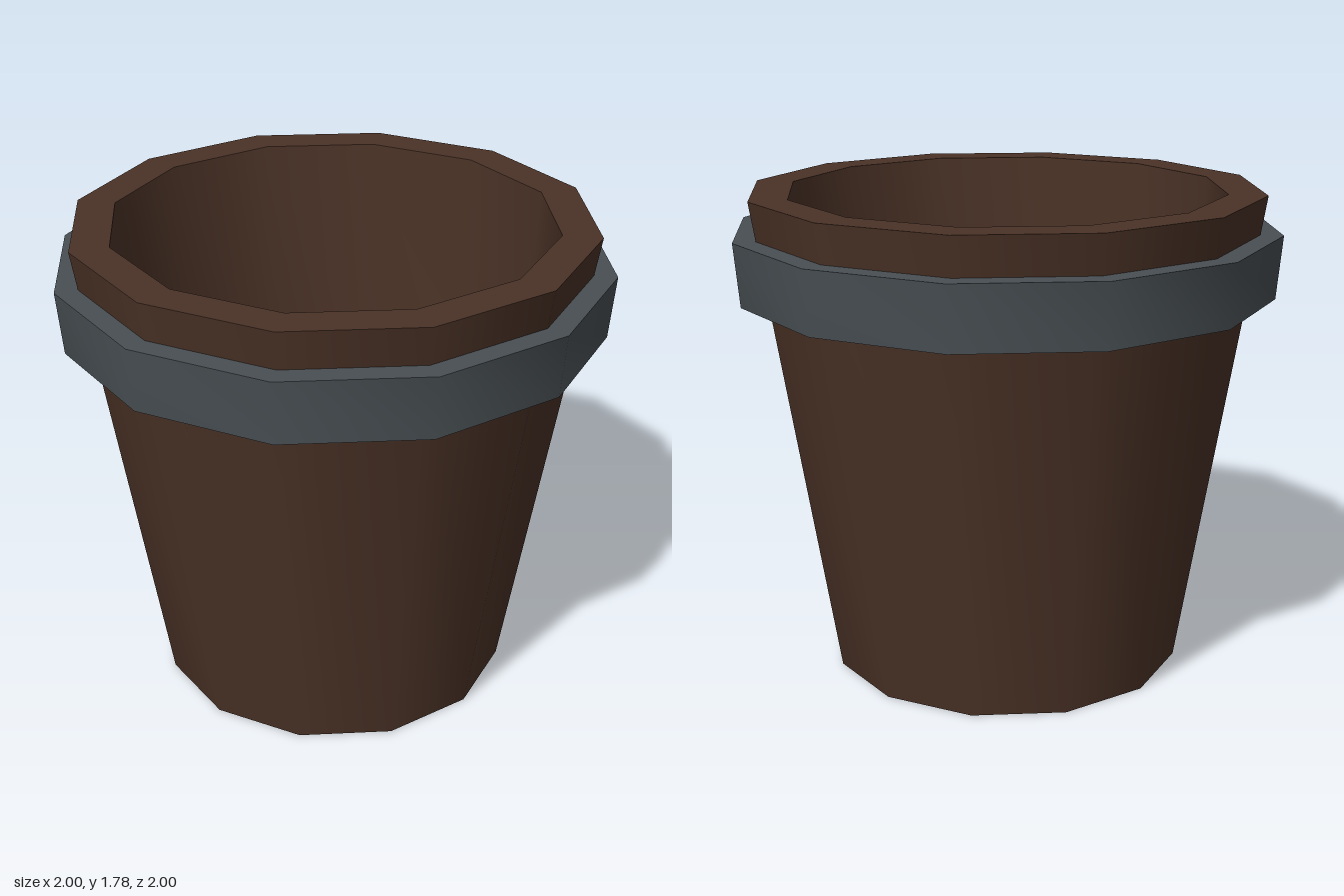
import * as THREE from 'three';
import { toCreasedNormals } from 'three/addons/utils/BufferGeometryUtils.js';

const SIDES = 12;

// Twelve-sided turned shape: smooth around, sharp at the rims
function turned(name, profile, material) {
  const points = profile.map(([r, y]) => new THREE.Vector2(r, y));
  const geometry = toCreasedNormals(new THREE.LatheGeometry(points, SIDES), 0.7);
  const mesh = new THREE.Mesh(geometry, material);
  mesh.name = name;
  return mesh;
}

export function createModel() {
  const wood = new THREE.MeshStandardMaterial({ color: 0x4a3226 });
  wood.name = 'dark brown';
  const iron = new THREE.MeshStandardMaterial({ color: 0x484f53 });
  iron.name = 'slate grey';

  const model = new THREE.Group();
  model.name = 'bucket';

  // Tapered body with a thick rim and a raised inner floor
  model.add(turned('body', [
    [0, 0], [0.655, 0], [0.94, 1.78], [0.8, 1.78], [0.73, 0.85], [0, 0.85],
  ], wood));

  // Hoop around the top of the body
  model.add(turned('hoop', [
    [0.86, 1.41], [0.98, 1.41], [1, 1.64], [0.9, 1.64],
  ], iron));

  return model;
}
